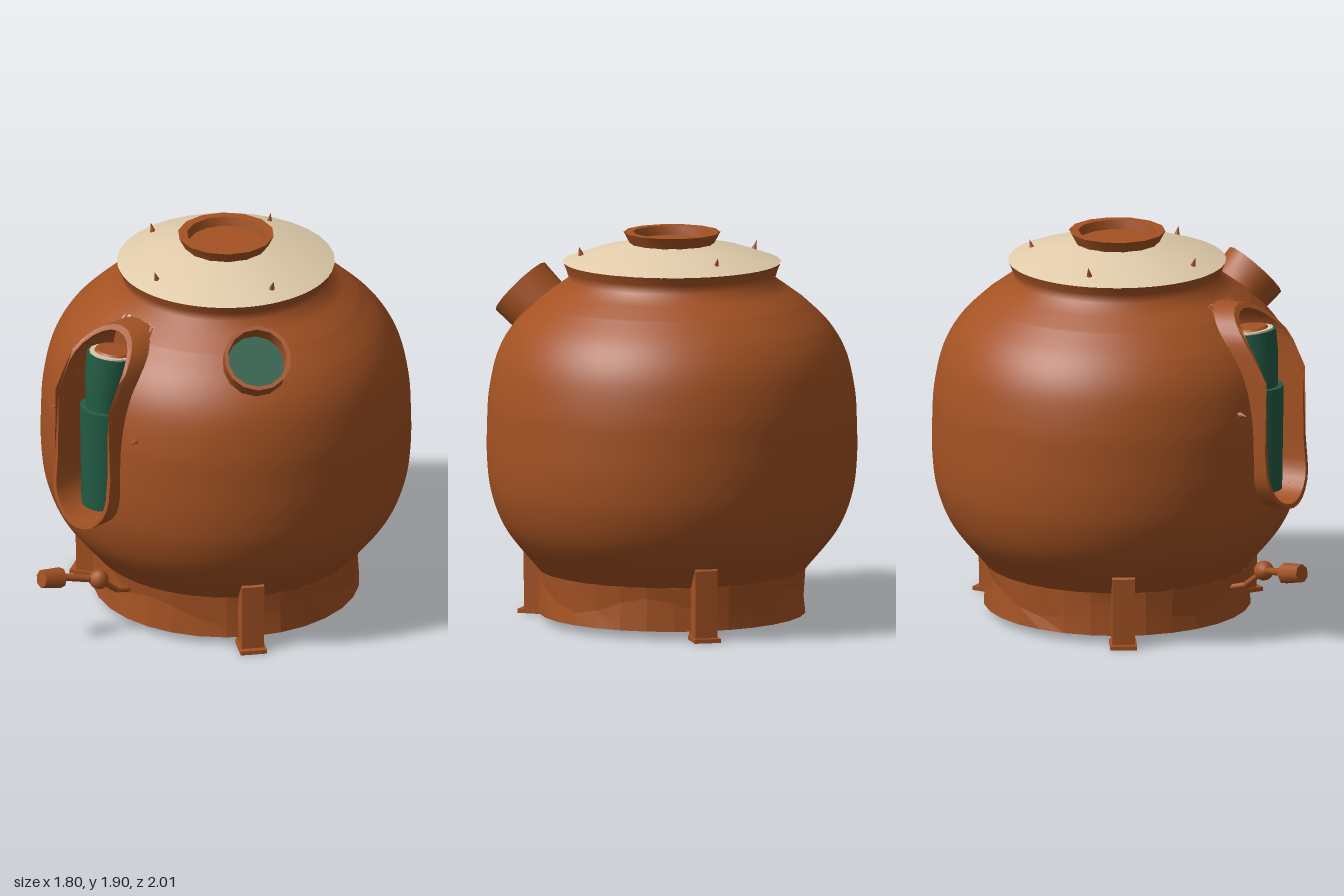
import * as THREE from 'three';
import { toCreasedNormals } from 'three/addons/utils/BufferGeometryUtils.js';

const mat = (name, color) => Object.assign(new THREE.MeshStandardMaterial({ color }), { name });
const AXIS_Z = -0.105; // the body's vertical axis
const UP = new THREE.Vector3(0, 1, 0);
const V = (x, y, z) => new THREE.Vector3(x, y, z);

export function createModel() {
  const copper = mat('copper', 0xa45223);
  const cream = mat('cream', 0xe2cdac);
  const green = mat('green', 0x225c45);
  const model = new THREE.Group();
  model.name = 'roundBoiler';

  const add = (name, geometry, material, parent = model) => {
    const mesh = new THREE.Mesh(geometry, material);
    mesh.name = name;
    parent.add(mesh);
    return mesh;
  };
  const pts = (list) => list.map(([r, y]) => new THREE.Vector2(r, y));
  // Lathe with sharp edges kept
  const turned = (list, sides, crease = 0.6) =>
    toCreasedNormals(new THREE.LatheGeometry(pts(list), sides), crease);
  // Aim an object's y axis along a direction
  const aim = (object, position, direction) => {
    object.position.copy(position);
    object.quaternion.setFromUnitVectors(UP, direction.clone().normalize());
    return object;
  };

  // Round body with a flared collar, its front opened for the tall window
  const outline = new THREE.SplineCurve(pts([
    [0.6, 0.2], [0.66, 0.27], [0.805, 0.45], [0.875, 0.62], [0.898, 0.79], [0.898, 0.97], [0.888, 1.13],
    [0.847, 1.31], [0.767, 1.45], [0.645, 1.57]]));
  const profile = [...outline.getPoints(72), ...pts([[0.57, 1.625], [0.5, 1.675], [0.513, 1.72], [0.53, 1.76]])];
  const body = new THREE.LatheGeometry(profile, 180);
  const p = body.attributes.position;
  const inWindow = (x, y, z) => {
    const dy = y > 1.44 ? y - 1.44 : y < 0.84 ? y - 0.84 : 0;
    return z > 0 && Math.hypot(x, dy) < 0.188;
  };
  const kept = [];
  for (let i = 0; i < body.index.count; i += 3) {
    const tri = [0, 1, 2].map((k) => body.index.getX(i + k));
    const mid = ['getX', 'getY', 'getZ'].map((get) => tri.reduce((s, v) => s + p[get](v) / 3, 0));
    if (!inWindow(...mid)) kept.push(...tri);
  }
  body.setIndex(kept);
  add('body', body, copper).position.z = AXIS_Z;
  const underside = add('underside', new THREE.CircleGeometry(0.61, 48), copper);
  underside.rotation.x = Math.PI / 2;
  underside.position.set(0, 0.2, AXIS_Z);

  // Pale lid and neck
  add('lid', turned([[0.53, 1.76], [0.37, 1.815], [0.19, 1.853]], 32), cream).position.z = AXIS_Z;
  add('neck', turned([[0.195, 1.83], [0.235, 1.905], [0.19, 1.905], [0.18, 1.86], [0, 1.86]], 14),
    copper).position.z = AXIS_Z;

  // Dented base ring
  const ring = new THREE.LatheGeometry(pts([
    [0.62, 0.04], [0.65, 0.04], [0.65, 0.15], [0.65, 0.255], [0.62, 0.255], [0.62, 0.04]]), 30);
  const rp = ring.attributes.position;
  for (let i = 0; i < rp.count; i++) {
    if (Math.abs(rp.getY(i) - 0.15) > 0.01) continue;
    const a = Math.atan2(rp.getX(i), rp.getZ(i));
    const dent = 1 - 0.012 * (1 + Math.sin(7 * a + 1) * Math.cos(4 * a));
    rp.setXYZ(i, rp.getX(i) * dent, 0.15 + 0.05 * Math.sin(5 * a + 0.5), rp.getZ(i) * dent);
  }
  add('baseRing', toCreasedNormals(ring, 0.15), copper).position.z = AXIS_Z;

  // Three legs with foot plates
  for (const angle of [58, 180, 302]) {
    const leg = new THREE.Group();
    leg.name = 'leg';
    leg.position.z = AXIS_Z;
    leg.rotation.y = THREE.MathUtils.degToRad(angle);
    const side = new THREE.Shape(pts([[0.6, 0.01], [0.74, 0.01], [0.745, 0.35], [0.72, 0.37], [0.6, 0.26]]));
    const post = new THREE.ExtrudeGeometry(side, { depth: 0.11, bevelEnabled: false });
    post.rotateY(-Math.PI / 2).translate(0.055, 0, 0);
    add('legPost', post, copper, leg);
    add('foot', new THREE.BoxGeometry(0.13, 0.02, 0.15), copper, leg).position.set(0, 0.01, 0.695);
    model.add(leg);
  }

  // Tall rounded window frame, its front edge following the body's curve
  const capsule = (r, low = 0.84, high = 1.43) => {
    const list = [];
    for (let i = 0; i <= 12; i++) {
      const a = (i / 12) * Math.PI;
      list.push([r * Math.cos(a), high + r * Math.sin(a)]);
    }
    list.push([-r, 1.3], [-r, 0.95]);
    for (let i = 0; i <= 12; i++) {
      const a = Math.PI + (i / 12) * Math.PI;
      list.push([r * Math.cos(a), low + r * Math.sin(a)]);
    }
    list.push([r, 0.95], [r, 1.3]);
    return pts(list);
  };
  const rim = [[0.64, 0.88], [0.7, 0.865], [0.9, 0.835], [1.3, 0.83], [1.42, 0.77], [1.5, 0.715], [1.63, 0.575]];
  const rimDepth = (y) => {
    const i = Math.max(1, rim.findIndex(([h]) => h >= y));
    const [[y0, z0], [y1, z1]] = [rim[i - 1], rim[i]];
    return THREE.MathUtils.lerp(z0, z1, (y - y0) / (y1 - y0));
  };
  const frameShape = new THREE.Shape(capsule(0.2));
  frameShape.holes.push(new THREE.Path(capsule(0.178)));
  const frame = new THREE.ExtrudeGeometry(frameShape, { depth: 1, bevelEnabled: false });
  const fp = frame.attributes.position;
  for (let i = 0; i < fp.count; i++) fp.setZ(i, fp.getZ(i) > 0.5 ? rimDepth(fp.getY(i)) : 0.455);
  add('windowFrame', toCreasedNormals(frame, 0.6), copper);
  add('windowBack', new THREE.ShapeGeometry(new THREE.Shape(capsule(0.19))), copper).position.z = 0.47;
  add('windowLeftPane', new THREE.BoxGeometry(0.05, 0.36, 0.008), green).position.set(0.15, 0.89, 0.56);
  add('windowRightPane', new THREE.BoxGeometry(0.07, 0.39, 0.008), green).position.set(-0.15, 0.975, 0.56);

  // Gauge tubes standing in the window
  add('lowerTube', new THREE.CylinderGeometry(0.136, 0.128, 0.52, 16), green).position.set(0, 0.975, 0.67);
  const upper = aim(new THREE.Group(), V(0, 1.22, 0.68), V(0, 1, -0.14));
  upper.name = 'upperTube';
  add('tubeGlass', turned([[0.1, 0], [0.108, 0.06], [0.122, 0.18], [0.125, 0.285], [0, 0.285]], 16), green, upper);
  add('tubeSeal', new THREE.CylinderGeometry(0.112, 0.112, 0.008, 16), cream, upper).position.y = 0.289;
  add('tubeCap', new THREE.CylinderGeometry(0.09, 0.1, 0.014, 16), copper, upper).position.set(0, 0.297, -0.012);
  model.add(upper);

  // Round porthole on the upper left shoulder
  const porthole = aim(new THREE.Group(), V(0.665, 1.6, 0.29), V(0.6, 0.67, 0.4));
  porthole.name = 'porthole';
  add('portholeRim', turned([[0.155, -0.22], [0.165, 0], [0.145, 0], [0.135, -0.2]], 14), copper, porthole);
  add('portholeGlass', new THREE.CylinderGeometry(0.142, 0.142, 0.008, 14), green, porthole).position.y = -0.1;
  model.add(porthole);

  // Little spikes on the lid and beside the window
  const spike = (pos, dir) =>
    aim(add('spike', new THREE.ConeGeometry(0.019, 0.06, 5), copper), V(...pos), V(...dir));
  spike([0.435, 1.805, -0.015], [0.3, 1, 0]);
  spike([-0.435, 1.805, -0.015], [-0.3, 1, 0]);
  spike([-0.13, 1.805, -0.51], [-0.1, 1, -0.3]);
  spike([-0.02, 1.805, 0.335], [0, 1, 0.3]);
  for (const s of [1, -1]) spike([s * 0.28, 1.155, 0.755], [s * 0.3, 0, 1]);

  // Tap: bent pipe, joint ball, arm and handle
  const rod = (name, a, b, r0, r1, sides) => {
    const mesh = add(name, new THREE.CylinderGeometry(r1, r0, a.distanceTo(b), sides), copper);
    return aim(mesh, a.clone().add(b).multiplyScalar(0.5), b.clone().sub(a));
  };
  const joint = V(-0.01, 0.305, 0.72), elbow = V(0, 0.215, 0.61);
  rod('tapPipe', V(0, 0.185, 0.5), elbow, 0.014, 0.014, 8);
  rod('tapPipe', elbow, joint, 0.014, 0.014, 8);
  add('tapJoint', new THREE.IcosahedronGeometry(0.05, 1), copper).position.copy(joint);
  rod('tapArm', joint, V(-0.1, 0.34, 0.89), 0.018, 0.018, 8);
  rod('tapHandle', V(-0.1, 0.335, 0.885), V(-0.12, 0.355, 0.995), 0.052, 0.045, 7);

  return model;
}
